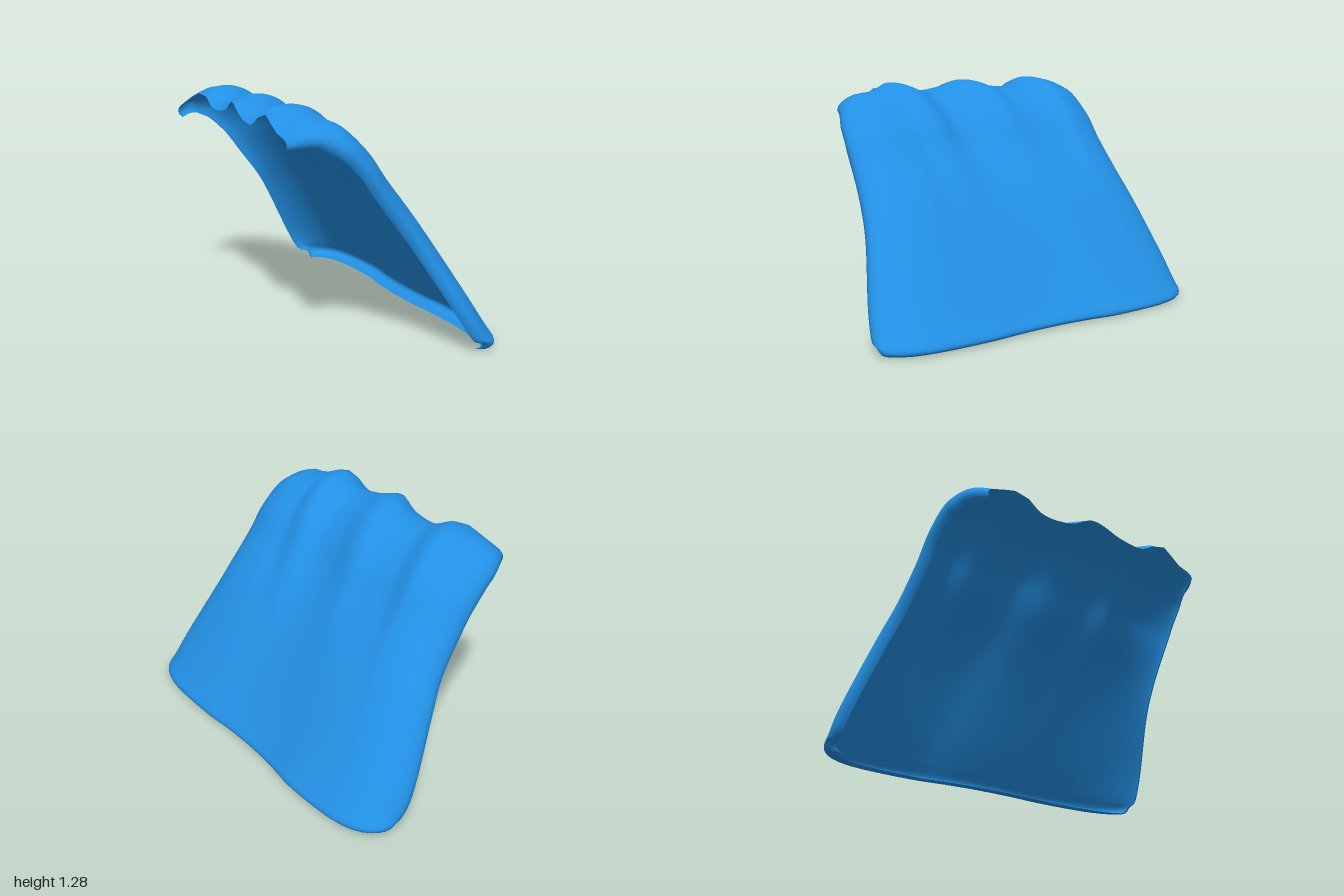
import * as THREE from 'three';

// Smooth 1D interpolation through [t, value] pairs, straight beyond the ends
function smooth(pts) {
  const n = pts.length;
  const slope = (i) => {
    const a = pts[Math.max(i - 1, 0)], b = pts[Math.min(i + 1, n - 1)];
    return (b[1] - a[1]) / (b[0] - a[0]);
  };
  return (t) => {
    if (t <= pts[0][0]) return pts[0][1] + slope(0) * (t - pts[0][0]);
    if (t >= pts[n - 1][0]) return pts[n - 1][1] + slope(n - 1) * (t - pts[n - 1][0]);
    let i = 0;
    while (t > pts[i + 1][0]) i++;
    const h = pts[i + 1][0] - pts[i][0], s = (t - pts[i][0]) / h;
    const s2 = s * s, s3 = s2 * s;
    return (2 * s3 - 3 * s2 + 1) * pts[i][1] + (s3 - 2 * s2 + s) * h * slope(i)
      + (3 * s2 - 2 * s3) * pts[i + 1][1] + (s3 - s2) * h * slope(i + 1);
  };
}

// Rows from the bottom lip to the upper edge: z offset, y, left x, right x, rim depth, ridge strength
const ROWS = [
  [0.09, 0.0, -0.91, 0.94, 0.09, 0],
  [0.025, 0.004, -0.94, 0.965, 0.14, 0],
  [0.0, 0.035, -0.97, 0.995, 0.16, 0],
  [0.05, 0.11, -0.99, 0.99, 0.17, 0],
  [0.15, 0.26, -1.0, 0.95, 0.17, 0],
  [0.35, 0.58, -0.965, 0.82, 0.17, 0.1],
  [0.47, 0.76, -0.945, 0.76, 0.17, 0.3],
  [0.6, 0.94, -0.955, 0.71, 0.17, 0.6],
  [0.7, 1.09, -0.975, 0.68, 0.17, 0.9],
  [0.83, 1.215, -0.99, 0.64, 0.17, 1],
  [0.95, 1.27, -0.99, 0.6, 0.17, 1],
  [1.08, 1.28, -0.97, 0.55, 0.15, 1.1],
  [1.19, 1.25, -0.93, 0.45, 0.12, 1.6],
];
const column = (k) => smooth(ROWS.map((r, i) => [i, r[k]]));
const [offZ, height, leftX, rightX, rimDepth, ridge] = [0, 1, 2, 3, 4, 5].map(column);

// Slanted back line of the sheet, seen from above
const backLine = smooth([[-1, -0.74], [-0.85, -0.765], [-0.67, -0.755], [-0.35, -0.68], [-0.15, -0.6],
  [0.05, -0.535], [0.25, -0.485], [0.45, -0.445], [0.8, -0.345], [1, -0.28]]);

// Depth of the valleys between the three rounded ridges
const valley = smooth([[-1, 0.03], [-0.85, 0.025], [-0.67, 0], [-0.54, 0.045], [-0.36, 0.038], [-0.23, 0],
  [-0.07, 0.038], [0.07, 0.048], [0.22, 0], [0.35, 0.04], [0.45, 0.03], [1, 0.03]]);

// Rolled side rim: inset from the side and share of the rim depth
const RIM = [[0.035, 1], [0.012, 0.9], [0, 0.72], [0.008, 0.55], [0.03, 0.4], [0.06, 0.27],
  [0.1, 0.16], [0.15, 0.08], [0.21, 0.03], [0.3, 0]];

// Direction in which the rims sink: forward at the foot, square to the slope above, down at the top
function sinkDirection(t, last) {
  const t0 = Math.max(t - 0.15, 2), t1 = Math.max(Math.min(t + 0.15, last), 2.3);
  const dir = new THREE.Vector2(height(t1) - height(t0), offZ(t0) - offZ(t1)).normalize();
  dir.x = Math.max(dir.x, 0);
  return dir.lerp(new THREE.Vector2(1, 0), 1 - THREE.MathUtils.smoothstep(t, 2, 4)).normalize();
}

function buildSheet() {
  const across = 44, rowsN = 72, last = ROWS.length - 1;
  const position = [], index = [];
  for (let j = 0; j <= rowsN; j++) {
    const t = (j / rowsN) * last;
    const L = leftX(t), R = rightX(t);
    const dir = sinkDirection(t, last);

    const stations = RIM.map(([inset, d]) => [L + inset, d]);
    for (let i = 1; i < across; i++) {
      stations.push([L + 0.3 + (R - L - 0.6) * (i / across), 0]);
    }
    for (const [inset, d] of [...RIM].reverse()) stations.push([R - inset, d]);

    for (const [x, d] of stations) {
      const sink = d * rimDepth(t) + ridge(t) * valley(x);
      position.push(x, Math.max(0, height(t) + dir.y * sink), backLine(x) + offZ(t) + dir.x * sink);
    }
    const w = stations.length;
    if (j < rowsN) {
      for (let i = 0; i < w - 1; i++) {
        const a = j * w + i, b = a + 1, c = a + w, e = c + 1;
        index.push(a, c, b, b, c, e);
      }
    }
  }
  const geometry = new THREE.BufferGeometry();
  geometry.setAttribute('position', new THREE.Float32BufferAttribute(position, 3));
  geometry.setIndex(index);
  geometry.computeVertexNormals();
  return geometry;
}

export function createModel() {
  const blue = new THREE.MeshStandardMaterial({ color: 0x2391e6, side: THREE.DoubleSide });
  blue.name = 'blue';
  const group = new THREE.Group();
  group.name = 'curvedShell';

  // Open shell with ridges, rolled side rims and a bottom lip
  const sheet = new THREE.Mesh(buildSheet(), blue);
  sheet.name = 'ridgedSheet';
  group.add(sheet);
  return group;
}
